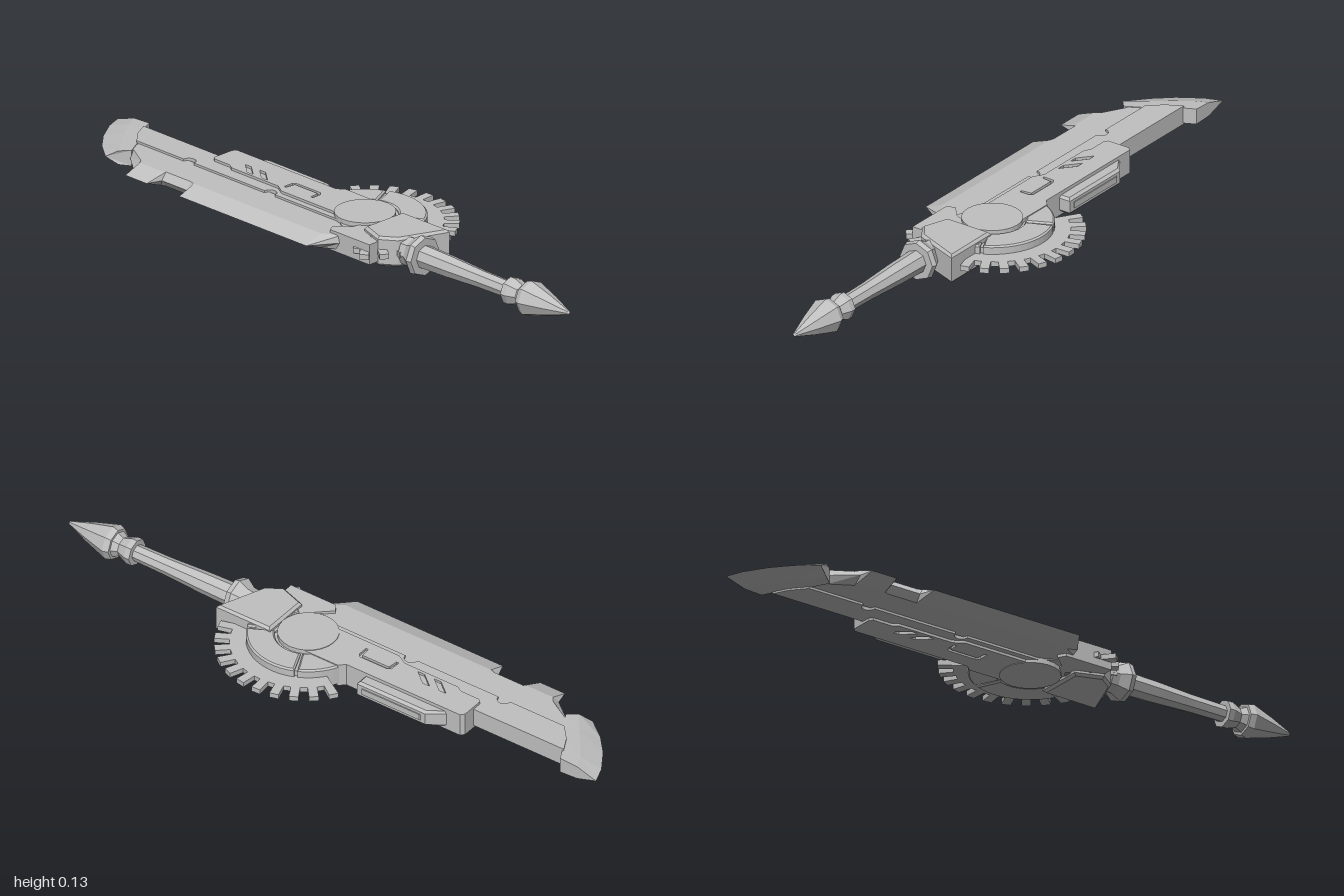
import * as THREE from 'three';

const MID = 0.065; // height of the weapon's centre plane
const HUB = [-0.02, 0.085]; // x, z of the round mechanism

export function createModel() {
  const model = new THREE.Group();
  const steel = new THREE.MeshStandardMaterial({ color: 0xc0c0c0 });
  steel.name = 'steel grey';

  const add = (name, geometry) => {
    const flat = geometry.index ? geometry.toNonIndexed() : geometry;
    flat.computeVertexNormals();
    const mesh = new THREE.Mesh(flat, steel);
    mesh.name = name;
    mesh.position.y = MID;
    model.add(mesh);
    return mesh;
  };
  const toPath = (pts, Kind) => new Kind(pts.map(([x, z]) => new THREE.Vector2(x, z)));

  // Flat plate from an x, z outline, reaching "half" above and below the centre plane
  const plate = (name, pts, half, holes = [], bevel = 0) => {
    const shape = toPath(pts, THREE.Shape);
    shape.holes = holes.map((h) => toPath(h, THREE.Path));
    const depth = 2 * (half - bevel);
    const g = new THREE.ExtrudeGeometry(shape, {
      depth, bevelEnabled: bevel > 0, bevelThickness: bevel, bevelSize: bevel,
      bevelOffset: -bevel, bevelSegments: 1,
    });
    g.rotateX(Math.PI / 2).translate(0, depth / 2, 0);
    return add(name, g);
  };

  // Skin closed cross-sections, with a fan over each end
  const loft = (name, rings) => {
    const pos = [];
    const n = rings[0].length;
    for (let i = 0; i < rings.length - 1; i++) {
      for (let j = 0; j < n; j++) {
        const k = (j + 1) % n;
        const a = rings[i][j], b = rings[i + 1][j], c = rings[i + 1][k], d = rings[i][k];
        pos.push(...a, ...b, ...c, ...a, ...c, ...d);
      }
    }
    const last = rings[rings.length - 1];
    for (let j = 1; j < n - 1; j++) {
      pos.push(...rings[0][0], ...rings[0][j], ...rings[0][j + 1]);
      pos.push(...last[0], ...last[j + 1], ...last[j]);
    }
    const g = new THREE.BufferGeometry();
    g.setAttribute('position', new THREE.Float32BufferAttribute(pos, 3));
    return add(name, g);
  };

  // Points along an arc in the x, z plane, angles in degrees
  const arc = (cx, cz, r, from, to, steps) => Array.from({ length: steps + 1 }, (_, i) => {
    const a = THREE.MathUtils.degToRad(from + ((to - from) * i) / steps);
    return [cx + r * Math.cos(a), cz + r * Math.sin(a)];
  });

  // Cutting side of the blade, with its notch: z, edge x, bevel x
  const edge = [
    [-0.78, -0.145, -0.14], [-0.755, -0.165, -0.15], [-0.685, -0.22, -0.19],
    [-0.675, -0.265, -0.205], [-0.585, -0.265, -0.205], [-0.57, -0.217, -0.2],
    [-0.465, -0.217, -0.2], [-0.448, -0.265, -0.205], [0.085, -0.265, -0.205],
    [0.14, -0.18, -0.17],
  ];
  loft('cuttingEdge', edge.map(([z, e, b]) => [
    [e, 0, z], [b, 0.023, z], [-0.09, 0.023, z], [-0.09, -0.023, z], [b, -0.023, z],
  ]));

  // Thicker spine with two half-round notches along its inner edge
  plate('bladeSpine', [
    [-0.105, -0.79], [-0.06, -0.83], [-0.012, -0.855], [-0.012, -0.52], [0.02, -0.5],
    [0.02, 0.1], [-0.105, 0.1],
    ...arc(-0.105, -0.23, 0.022, 90, -90, 6),
    ...arc(-0.105, -0.57, 0.022, 90, -90, 6),
  ], 0.03);
  plate('bladeNeck', [[-0.15, -0.8], [-0.1, -0.82], [-0.1, -0.74], [-0.15, -0.74]], 0.02);

  // Curved tip: outer edge, ridge and inner edge at each station
  const tip = [
    [[0.025, -1.0], [0.025, -0.93], [0.025, -0.868]],
    [[-0.03, -0.98], [-0.02, -0.91], [-0.012, -0.85]],
    [[-0.1, -0.935], [-0.075, -0.87], [-0.06, -0.82]],
    [[-0.155, -0.885], [-0.125, -0.83], [-0.105, -0.785]],
    [[-0.205, -0.82], [-0.185, -0.785], [-0.16, -0.755]],
  ];
  loft('bladeTip', tip.map(([o, r, i]) => [
    [o[0], 0, o[1]], [r[0], 0.022, r[1]], [i[0], 0.025, i[1]],
    [i[0], -0.025, i[1]], [r[0], -0.022, r[1]],
  ]));

  // Housing on the back of the blade, with slanted vents and a long slot
  const vent = (z) => [[-0.055, z], [-0.018, z - 0.045], [-0.018, z - 0.02], [-0.055, z + 0.025]];
  plate('housing', [
    [-0.053, -0.515], [-0.045, -0.525], [0.03, -0.525], [0.042, -0.515], [0.042, -0.1],
    [0.06, -0.08], [0.06, 0.06], [-0.085, 0.06], [-0.085, -0.2], [-0.065, -0.235],
    [-0.065, -0.43], [-0.053, -0.45],
  ], 0.038, [
    vent(-0.375), vent(-0.315),
    [[-0.055, -0.22], [-0.02, -0.22], [-0.012, -0.205], [-0.012, -0.11], [-0.022, -0.1],
      [-0.055, -0.1], [-0.055, -0.108], [-0.022, -0.112], [-0.022, -0.208], [-0.055, -0.212]],
  ]);
  plate('sideBlock', [[0.035, -0.475], [0.08, -0.415], [0.08, -0.165], [0.035, -0.165]], 0.027, [], 0.008);
  plate('sideRail', [[0.04, -0.44], [0.083, -0.395], [0.083, -0.185], [0.04, -0.185]], 0.01);

  // Toothed wheel, shown only outside the blade
  const teeth = 16, first = -58, step = 12.86;
  const gear = [];
  for (let i = 0; i < teeth; i++) {
    const a = first + i * step;
    gear.push(...arc(-0.005, 0.088, 0.268, a, a + step * 0.48, 1));
    gear.push(...arc(-0.005, 0.088, 0.222, a + step * 0.52, a + step * 0.96, 1));
  }
  gear.push(...arc(-0.005, 0.088, 0.165, first + teeth * step, first, 24));
  plate('gear', gear, 0.008);

  // Round mechanism: core, ring segments and hub
  const [hx, hz] = HUB;
  plate('discCore', arc(hx, hz, 0.178, -80, 140, 28).concat([[hx - 0.1, hz]]), 0.026);
  for (const [from, to] of [[-72, -26], [-23, 62], [65, 130]]) {
    plate('discSegment', [
      ...arc(hx, hz, 0.185, from, to, 12), ...arc(hx, hz, 0.1, to, from, 12),
    ], 0.035, [], 0.005);
  }
  plate('hub', arc(hx, hz, 0.092, 0, 345, 23), 0.04);

  // Guard
  plate('guardBase', [
    [-0.18, 0.1], [-0.155, 0.085], [-0.115, 0.13], [0.03, 0.17], [0.03, 0.33],
    [-0.09, 0.33], [-0.145, 0.265], [-0.18, 0.265],
  ], 0.032);
  plate('guardBlock', [
    [-0.115, 0.178], [0.045, 0.178], [0.045, 0.375], [-0.035, 0.345], [-0.11, 0.315],
    [-0.145, 0.265],
  ], 0.047, [], 0.008);

  // Eight-sided turned parts along the grip axis: radius, z
  const turned = (name, profile) => {
    const g = new THREE.LatheGeometry(profile.map(([r, z]) => new THREE.Vector2(r, z)), 8);
    add(name, g.rotateX(Math.PI / 2)).position.x = -0.073;
  };
  turned('gripCollar', [[0, 0.32], [0.044, 0.32], [0.046, 0.345], [0.064, 0.375], [0.06, 0.392], [0, 0.392]]);
  turned('grip', [[0, 0.38], [0.037, 0.38], [0.034, 0.5], [0.028, 0.63], [0.026, 0.76], [0, 0.76]]);
  turned('pommelCollar', [[0, 0.75], [0.043, 0.75], [0.043, 0.768], [0.031, 0.8], [0.044, 0.825], [0, 0.825]]);
  turned('pommelSpike', [[0, 0.82], [0.05, 0.82], [0.056, 0.838], [0.032, 0.92], [0.006, 0.995], [0, 1.0]]);

  return model;
}
